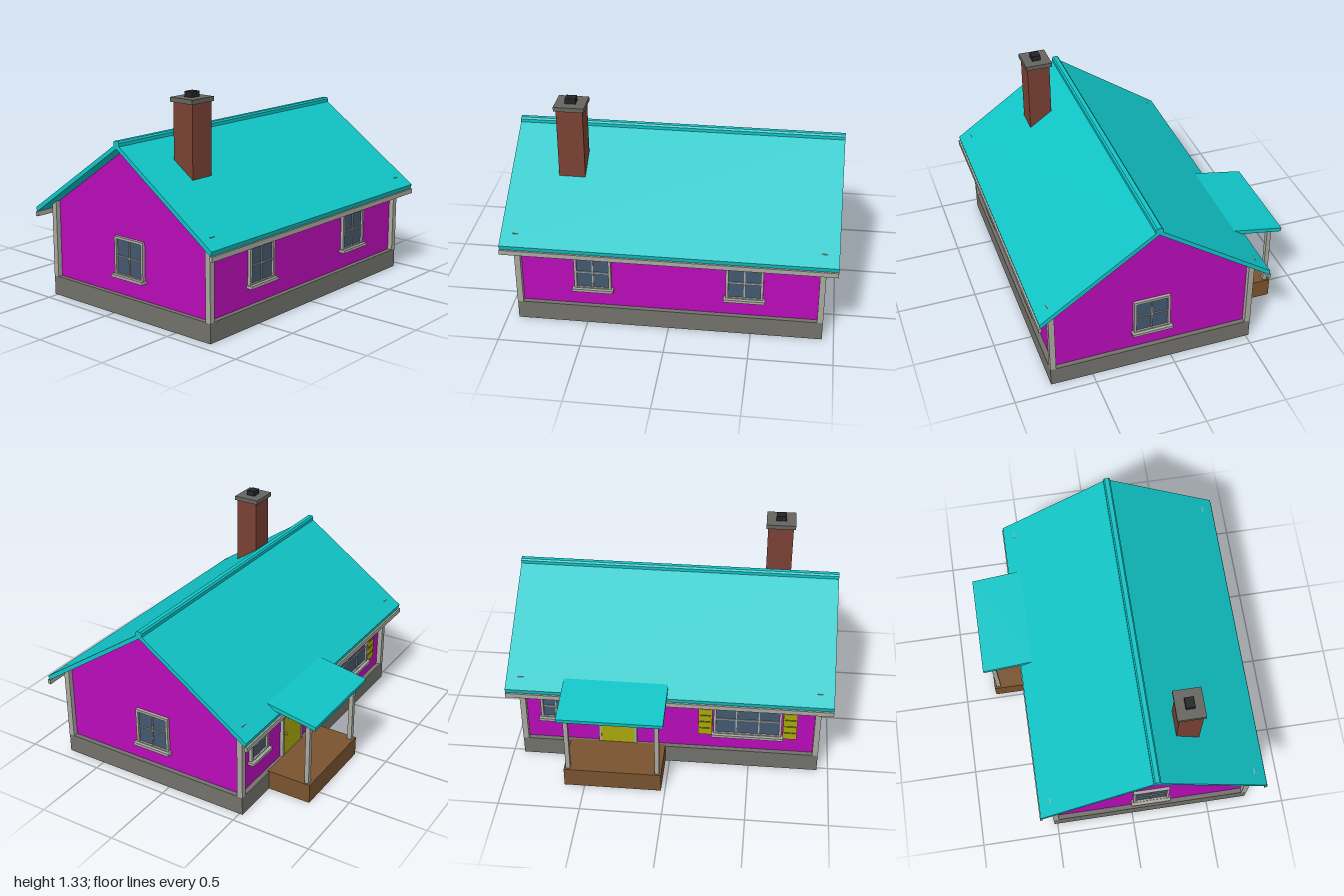
import * as THREE from 'three';

const mat = (color) => new THREE.MeshStandardMaterial({ color });
const M = {
  wall: mat(0xb80cb8), roof: mat(0x10c4c6), trim: mat(0xa9a8a0), stone: mat(0x72716b),
  brick: mat(0x7a4134), cap: mat(0x66645f), black: mat(0x222428), glass: mat(0x43586f),
  wood: mat(0x79532f), yellow: mat(0xa8a80c), slat: mat(0x77770a), brass: mat(0x9a7a30),
};
const RIDGE_Z = 0.12;

// box given by its extents on each axis
function box(parent, name, m, [x0, x1], [y0, y1], [z0, z1]) {
  const mesh = new THREE.Mesh(new THREE.BoxGeometry(x1 - x0, y1 - y0, z1 - z0), m);
  mesh.position.set((x0 + x1) / 2, (y0 + y1) / 2, (z0 + z1) / 2);
  mesh.name = name;
  parent.add(mesh);
  return mesh;
}

// prism along x from a [z, y] profile
function prism(parent, name, m, pts, x0, x1) {
  const shape = new THREE.Shape(pts.map(([z, y]) => new THREE.Vector2(z, y)));
  const geo = new THREE.ExtrudeGeometry(shape, { depth: x1 - x0, bevelEnabled: false });
  geo.rotateY(-Math.PI / 2).translate(x1, 0, 0);
  const mesh = new THREE.Mesh(geo, m);
  mesh.name = name;
  parent.add(mesh);
}

// window facing local +z, its sill at local y = 0
function makeWindow(name, w, h, cols) {
  const g = new THREE.Group();
  g.name = name;
  const f = 0.016, a = w / 2;
  box(g, 'glass', M.glass, [-a + f, a - f], [f, h - f], [-0.005, 0.008]);
  for (const s of [-1, 1]) {
    const x = s * (a - f / 2);
    box(g, 'frameSide', M.trim, [x - f / 2, x + f / 2], [0, h], [-0.005, 0.02]);
  }
  box(g, 'frameTop', M.trim, [-a, a], [h - f, h], [-0.005, 0.02]);
  box(g, 'frameBottom', M.trim, [-a, a], [0, f], [-0.005, 0.02]);
  for (let i = 1; i < cols; i++) {
    const x = -a + (w * i) / cols;
    box(g, 'mullion', M.trim, [x - 0.004, x + 0.004], [f, h - f], [0, 0.014]);
  }
  box(g, 'crossbar', M.trim, [-a + f, a - f], [h / 2 - 0.004, h / 2 + 0.004], [0, 0.014]);
  box(g, 'sill', M.trim, [-a - 0.012, a + 0.012], [-0.008, 0.01], [-0.005, 0.04]);
  return g;
}

export function createModel() {
  const house = new THREE.Group();
  house.name = 'house';

  // body
  box(house, 'foundation', M.stone, [-0.93, 0.93], [0, 0.12], [-0.52, 0.76]);
  box(house, 'walls', M.wall, [-0.9, 0.9], [0.12, 0.605], [-0.49, 0.73]);
  prism(house, 'gables', M.wall, [[-0.49, 0.605], [0.73, 0.605], [RIDGE_Z, 1.025]], -0.9, 0.9);
  for (const sx of [-1, 1]) for (const sz of [-1, 1]) {
    const trim = box(house, 'cornerTrim', M.trim, [-0.018, 0.018], [0.12, 0.612], [-0.018, 0.018]);
    trim.position.x = sx * 0.913;
    trim.position.z = RIDGE_Z + sz * 0.623;
  }

  // roof slopes, gutters and ridge cap
  for (const s of [-1, 1]) {
    const pts = [[0, 1.05], [0.71, 0.56], [0.704, 0.532], [0, 1.02]];
    prism(house, 'roofSlope', M.roof, pts.map(([z, y]) => [RIDGE_Z + s * z, y]), -1, 1);
    const z = RIDGE_Z + s * 0.707;
    box(house, 'gutter', M.trim, [-1, 1], [0.503, 0.533], [z - 0.009, z + 0.009]);
  }
  const cap = [[-0.022, 1.035], [0.022, 1.035], [0.022, 1.055], [0.013, 1.065], [-0.013, 1.065], [-0.022, 1.055]];
  prism(house, 'ridgeCap', M.roof, cap.map(([z, y]) => [RIDGE_Z + z, y]), -1, 1);

  // chimney
  box(house, 'chimney', M.brick, [-0.705, -0.545], [0.8, 1.27], [0.287, 0.432]);
  box(house, 'chimneyCap', M.cap, [-0.718, -0.534], [1.27, 1.297], [0.272, 0.442]);
  box(house, 'flue', M.black, [-0.658, -0.594], [1.297, 1.33], [0.33, 0.385]);

  // windows: x, sill height, z, turn, width, height, columns
  const windows = [
    ['frontWindow', -0.46, 0.235, 0.73, 0, 0.225, 0.24, 2],
    ['frontWindow', 0.455, 0.235, 0.73, 0, 0.225, 0.24, 2],
    ['leftWindow', 0.9, 0.235, RIDGE_Z, Math.PI / 2, 0.23, 0.24, 2],
    ['rightWindow', -0.9, 0.235, RIDGE_Z, -Math.PI / 2, 0.23, 0.24, 2],
    ['smallBackWindow', 0.71, 0.283, -0.49, Math.PI, 0.19, 0.19, 2],
    ['wideBackWindow', -0.485, 0.235, -0.49, Math.PI, 0.42, 0.24, 3],
  ];
  for (const [name, x, y, z, turn, w, h, cols] of windows) {
    const win = makeWindow(name, w, h, cols);
    win.position.set(x, y, z);
    win.rotation.y = turn;
    house.add(win);
  }

  // shutters beside the wide window
  for (const s of [-1, 1]) {
    const x = -0.485 + s * 0.262;
    box(house, 'shutter', M.yellow, [x - 0.043, x + 0.043], [0.23, 0.48], [-0.508, -0.485]);
    for (let i = 1; i < 5; i++) {
      const y = 0.23 + i * 0.05;
      box(house, 'shutterSlat', M.slat, [x - 0.034, x + 0.034], [y - 0.004, y + 0.004], [-0.512, -0.5]);
    }
  }

  // door, its frame, pane and knob
  box(house, 'door', M.yellow, [0.22, 0.43], [0.12, 0.5], [-0.507, -0.485]);
  box(house, 'doorPane', M.glass, [0.275, 0.375], [0.36, 0.455], [-0.511, -0.5]);
  for (const x of [0.213, 0.437])
    box(house, 'doorFrame', M.trim, [x - 0.008, x + 0.008], [0.12, 0.515], [-0.512, -0.485]);
  box(house, 'doorFrameTop', M.trim, [0.205, 0.445], [0.5, 0.516], [-0.512, -0.485]);
  const knob = new THREE.Mesh(new THREE.SphereGeometry(0.009, 12, 8), M.brass);
  knob.name = 'doorKnob';
  knob.position.set(0.408, 0.27, -0.513);
  house.add(knob);
  box(house, 'wallLamp', M.black, [0.458, 0.494], [0.42, 0.48], [-0.535, -0.485]);

  // porch
  box(house, 'porchDeck', M.wood, [0.025, 0.625], [0, 0.125], [-0.797, -0.51]);
  for (const x of [0.05, 0.6])
    box(house, 'porchPost', M.trim, [x - 0.014, x + 0.014], [0.125, 0.545], [-0.783, -0.755]);
  prism(house, 'porchRoof', M.roof,
    [[-0.5, 0.615], [-0.5, 0.588], [-0.832, 0.528], [-0.835, 0.553]], 0.005, 0.645);

  return house;
}
